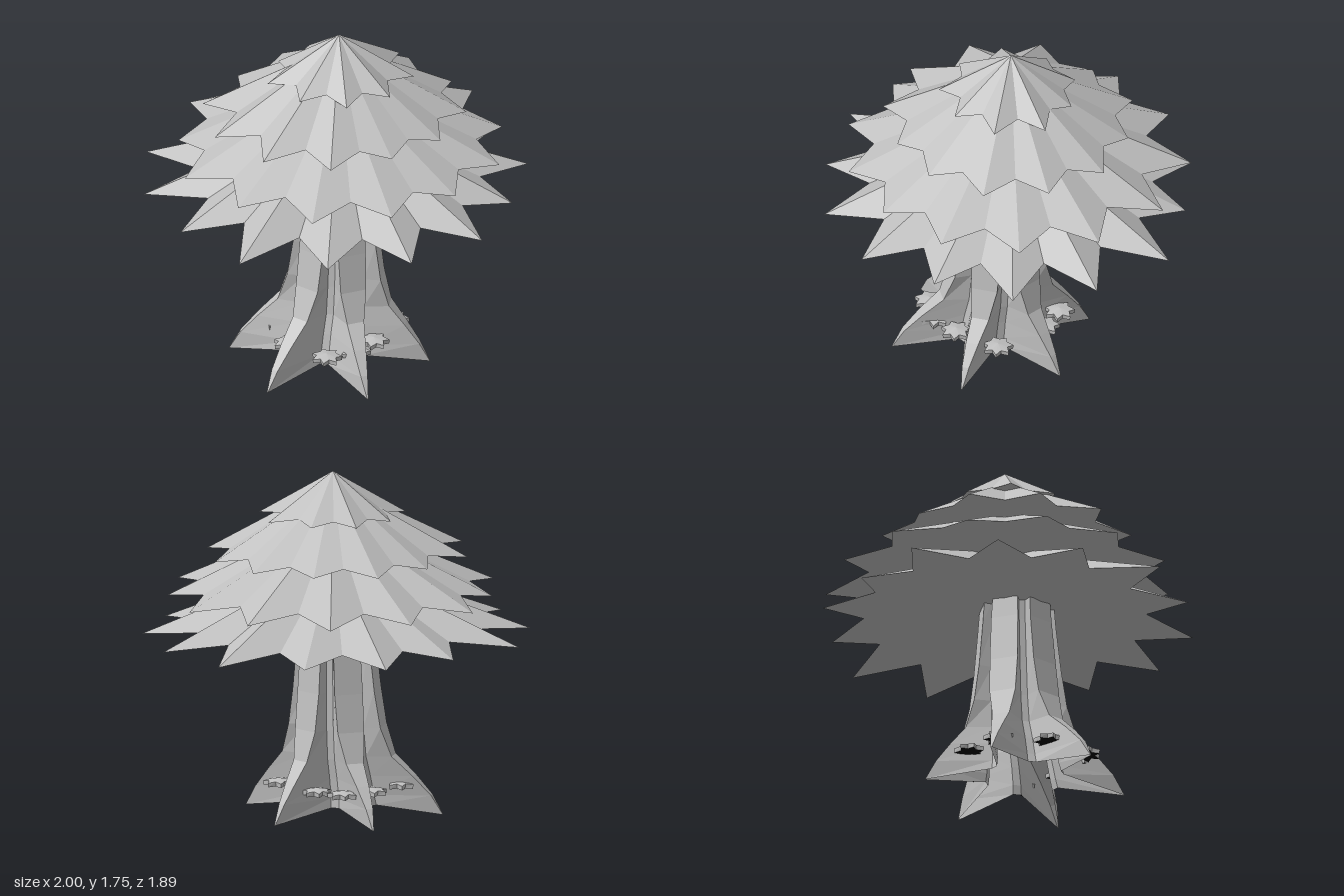
import * as THREE from 'three';

const grey = new THREE.MeshStandardMaterial({ color: 0xc0c0c0, flatShading: true, side: THREE.DoubleSide });
grey.name = 'plain grey';
const black = new THREE.MeshStandardMaterial({ color: 0x050505, flatShading: true });
black.name = 'underside black';

// Faceted solid through rings of points (bottom to top); the bottom stays open without a centre point
function loft(rings, bottom, top) {
  const pos = [];
  const tri = (...pts) => pts.forEach((p) => pos.push(...p));
  const n = rings[0].length;
  const last = rings[rings.length - 1];
  for (let i = 0; i < n; i++) {
    const j = (i + 1) % n;
    if (bottom) tri(bottom, rings[0][i], rings[0][j]);
    for (let k = 0; k + 1 < rings.length; k++) {
      const lo = rings[k], hi = rings[k + 1];
      tri(lo[i], hi[i], lo[j]);
      tri(lo[j], hi[i], hi[j]);
    }
    tri(top, last[j], last[i]);
  }
  const geo = new THREE.BufferGeometry();
  geo.setAttribute('position', new THREE.Float32BufferAttribute(pos, 3));
  geo.computeVertexNormals();
  return geo;
}

// Star ring: one tip per listed radius, with a notch after each
function starRing(tips, phase, cx, cz, notchR, tipY, notchY) {
  const ring = [];
  const put = (deg, r, y) => {
    const a = THREE.MathUtils.degToRad(deg);
    ring.push([cx + r * Math.cos(a), y, cz + r * Math.sin(a)]);
  };
  const step = 360 / tips.length;
  tips.forEach((r, i) => {
    put(phase + i * step, r, tipY);
    put(phase + (i + 0.5) * step, notchR, notchY);
  });
  return ring;
}

function add(parent, name, geo, material = grey) {
  const mesh = new THREE.Mesh(geo, material);
  mesh.name = name;
  parent.add(mesh);
  return mesh;
}

function createTrunk() {
  // height, ridge radius, ridge half width, groove radius, centre x
  const levels = [
    [0, 0.505, 0.003, 0.2, -0.105],
    [0.1, 0.45, 0.018, 0.19, -0.1],
    [0.2, 0.37, 0.032, 0.18, -0.085],
    [0.3, 0.28, 0.045, 0.17, -0.065],
    [0.45, 0.235, 0.068, 0.163, -0.055],
    [0.64, 0.208, 0.073, 0.155, -0.05],
    [0.88, 0.185, 0.07, 0.145, -0.045],
    [1.02, 0.175, 0.065, 0.14, -0.045],
  ];
  const rings = levels.map(([y, r, w, g, cx]) => {
    const ring = [];
    for (let k = 0; k < 6; k++) {
      const a = (k * Math.PI) / 3, c = Math.cos(a), s = Math.sin(a);
      const put = (u, v, h) => ring.push([cx + u * c - v * s, h, 0.01 + u * s + v * c]);
      const inner = 0.42; // groove points sit either side of each ridge
      const gy = y === 0 ? 0.05 : y;
      put(g * Math.cos(inner), -g * Math.sin(inner), gy);
      put(r, -w, y);
      put(r, w, y);
      put(g * Math.cos(inner), g * Math.sin(inner), gy);
    }
    return ring;
  });
  return loft(rings, null, [-0.045, 1.02, 0.01]);
}

export function createModel() {
  const model = new THREE.Group();
  model.name = 'tree';

  add(model, 'trunkWithRoots', createTrunk());

  // Four overlapping star-edged tiers, lowest first, all centred on the tree top
  const cx = 0.01, cz = -0.02;
  const tiers = [
    { phase: -8.7, notch: 0.705, y: 0.935, rise: 0.035, apex: 1.32,
      tips: [1, 0.97, 0.955, 0.9, 0.96, 0.955, 0.945, 1.02, 0.965, 0.985, 1, 0.89, 0.925, 0.89] },
    { phase: -15, notch: 0.685, y: 1.138, rise: 0.035, apex: 1.53,
      tips: [0.89, 0.86, 0.83, 0.83, 0.8, 0.82, 0.85, 0.84, 0.85, 0.8, 0.855, 0.86, 0.9] },
    { phase: -4.2, notch: 0.52, y: 1.337, rise: 0.03, apex: 1.7,
      tips: [0.627, 0.626, 0.635, 0.606, 0.593, 0.653, 0.68, 0.689, 0.68, 0.606, 0.635, 0.597] },
    { phase: 16, notch: 0.265, y: 1.53, rise: 0.02, apex: 1.752,
      tips: [0.374, 0.374, 0.352, 0.36, 0.35, 0.37, 0.33, 0.335, 0.327] },
  ];
  const foliage = new THREE.Group();
  foliage.name = 'foliage';
  model.add(foliage);
  tiers.forEach((t, k) => {
    const ring = starRing(t.tips, t.phase, cx, cz, t.notch, t.y, t.y + t.rise);
    add(foliage, `foliageTier${k + 1}`, loft([ring], [cx, t.y + 0.06, cz], [cx, t.apex, cz]));
  });

  // Small star-shaped shelf fungi around the roots, each with a dark underside
  const shelves = new THREE.Group();
  shelves.name = 'shelfFungi';
  model.add(shelves);
  const spots = [
    [-0.36, 0.19], [-0.23, 0.27], [-0.08, 0.27], [0.16, 0.21],
    [0.19, -0.08], [0.15, -0.22], [-0.01, -0.27], [-0.22, -0.26], [-0.36, -0.05],
  ];
  const low = starRing(Array(7).fill(0.076), 0, 0, 0, 0.047, -0.015, -0.012);
  const high = starRing(Array(7).fill(0.078), 0, 0, 0, 0.051, 0.006, 0.012);
  const cap = loft([low, high], [0, -0.012, 0], [0, 0.022, 0]);
  const under = loft([low], [0, -0.016, 0], [0, -0.012, 0]);
  spots.forEach(([x, z], i) => {
    const fungus = new THREE.Group();
    fungus.name = `shelfFungus${i + 1}`;
    fungus.position.set(x, 0.152, z);
    fungus.rotation.y = i * 0.9;
    add(fungus, 'fungusCap', cap);
    add(fungus, 'fungusUnderside', under, black);
    shelves.add(fungus);
  });

  return model;
}
